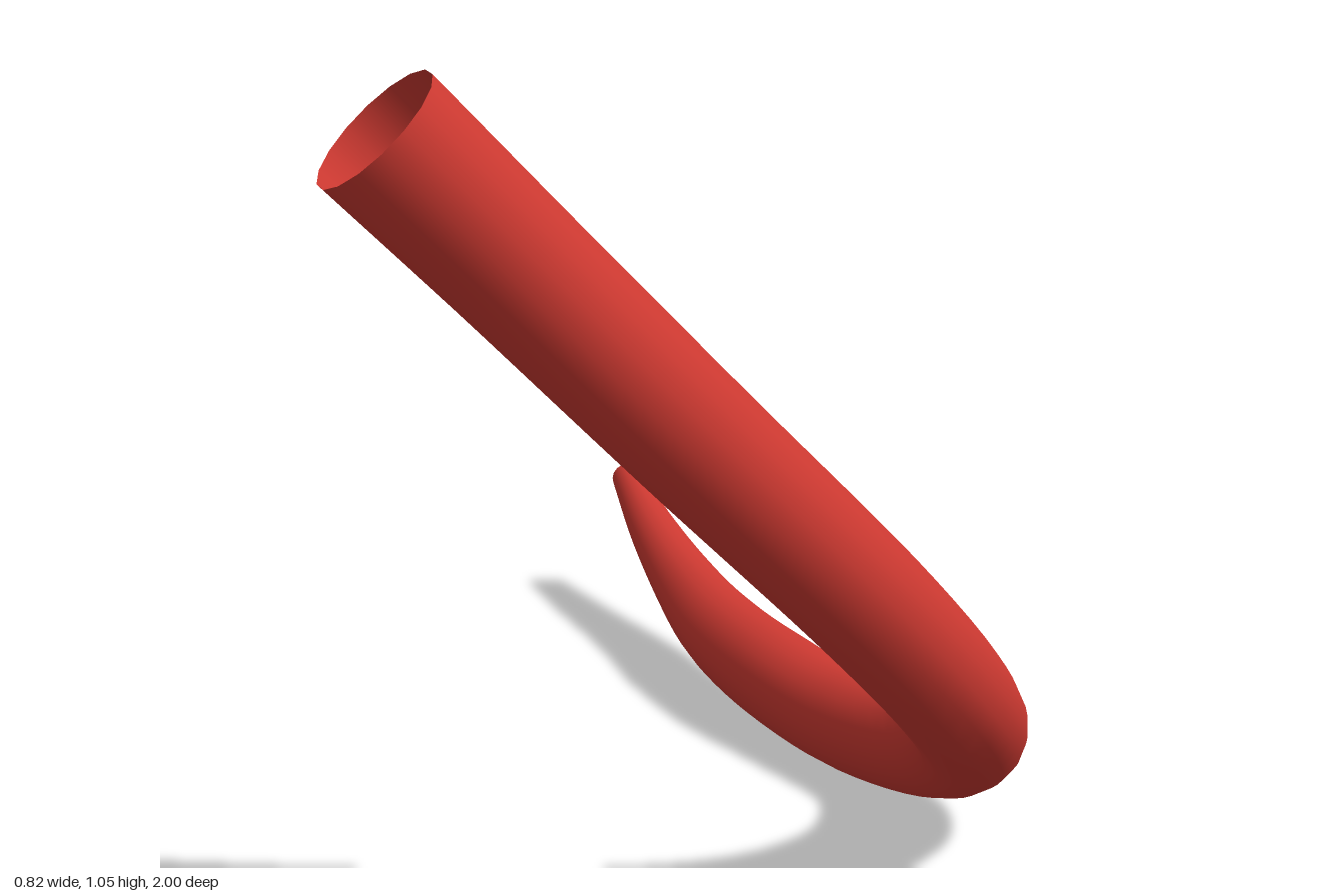
import * as THREE from 'three';

export function createModel() {
  const group = new THREE.Group();
  group.name = 'curvedTaperedTube';
  const red = new THREE.MeshStandardMaterial({ color: 0xcc3931, side: THREE.DoubleSide });
  red.name = 'red';

  // Centre line from the wide open end to the narrow tip: x, y, z, radius
  const stations = [
    [-0.345, 0.995, 0.915, 0.087],
    [-0.2, 0.84, 0.855, 0.083],
    [0.0, 0.63, 0.795, 0.08],
    [0.2, 0.415, 0.695, 0.077],
    [0.3, 0.28, 0.575, 0.074],
    [0.341, 0.175, 0.4, 0.072],
    [0.305, 0.098, 0.2, 0.07],
    [0.2, 0.075, 0.0, 0.07],
    [0.097, 0.087, -0.2, 0.068],
    [0.022, 0.098, -0.4, 0.062],
    [-0.033, 0.118, -0.6, 0.051],
    [-0.09, 0.16, -0.8, 0.038],
    [-0.138, 0.206, -0.993, 0.025],
  ];
  const path = new THREE.CatmullRomCurve3(stations.map(([x, y, z]) => new THREE.Vector3(x, y, z)));
  path.arcLengthDivisions = 600;

  // Tube of unit radius whose rings are scaled to the taper
  const rings = 64, sides = 16;
  const geometry = new THREE.TubeGeometry(path, rings, 1, sides, false);
  const position = geometry.attributes.position;
  const vertex = new THREE.Vector3();
  for (let i = 0; i <= rings; i++) {
    const centre = path.getPointAt(i / rings);
    const along = path.getUtoTmapping(i / rings) * (stations.length - 1);
    const k = Math.min(Math.floor(along), stations.length - 2);
    const radius = THREE.MathUtils.lerp(stations[k][3], stations[k + 1][3], along - k);
    for (let j = 0; j <= sides; j++) {
      const n = i * (sides + 1) + j;
      vertex.fromBufferAttribute(position, n).sub(centre).multiplyScalar(radius).add(centre);
      position.setXYZ(n, vertex.x, vertex.y, vertex.z);
    }
  }

  const tube = new THREE.Mesh(geometry, red);
  tube.name = 'tube';
  group.add(tube);
  return group;
}
